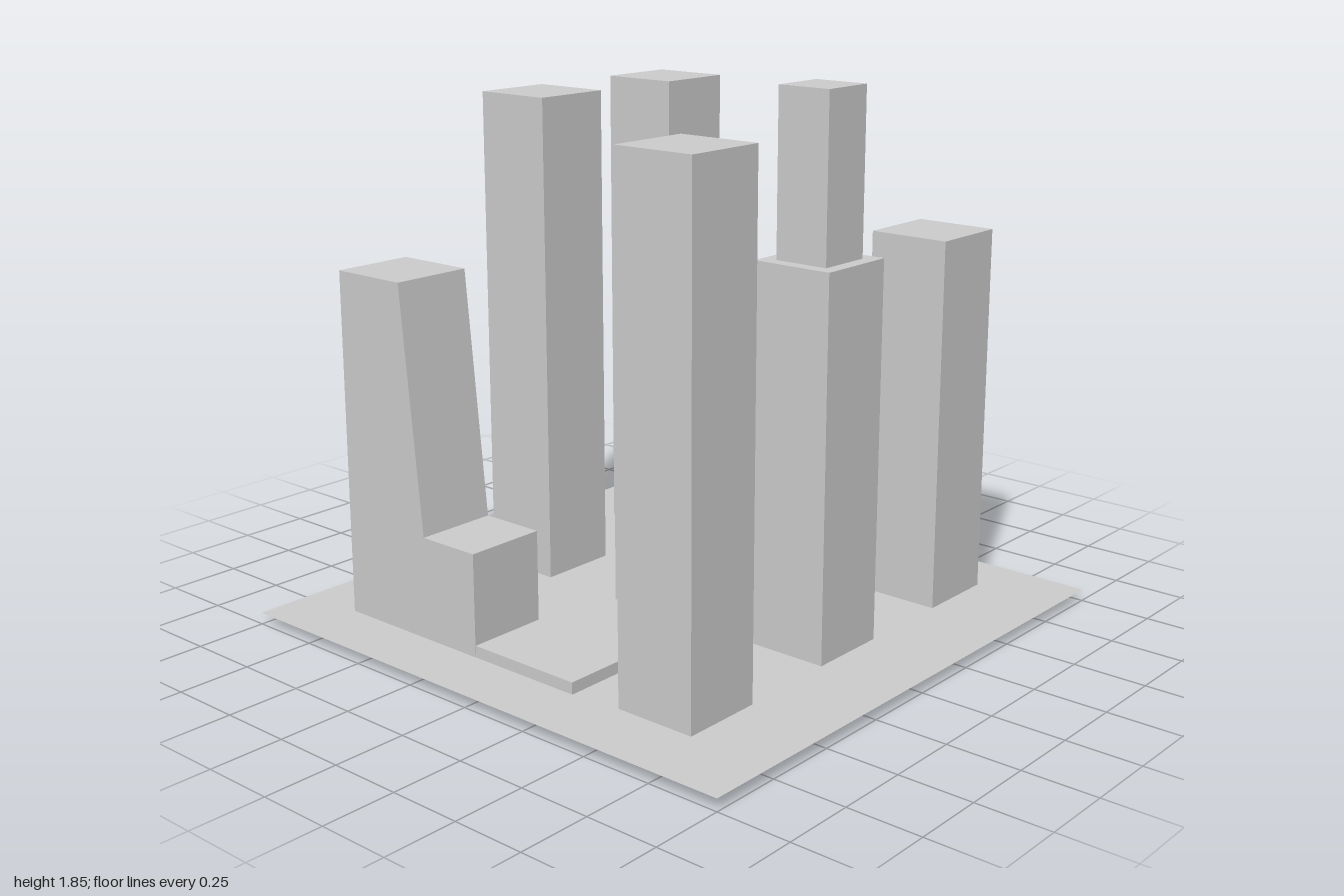
import * as THREE from 'three';

export function createModel() {
  const city = new THREE.Group();
  city.name = 'cityBlock';
  const material = new THREE.MeshStandardMaterial({ color: 0xcccccc, flatShading: true });

  function add(name, geometry, mat = material) {
    const mesh = new THREE.Mesh(geometry, mat);
    mesh.name = name;
    city.add(mesh);
    return mesh;
  }

  // Box given by its footprint centre, width, depth and vertical span
  function block(name, x, z, width, depth, bottom, top) {
    add(name, new THREE.BoxGeometry(width, top - bottom, depth))
      .position.set(x, (bottom + top) / 2, z);
  }

  // Thin ground sheet, slightly above the feet of the buildings
  const groundMaterial = material.clone();
  groundMaterial.side = THREE.DoubleSide;
  const ground = add('groundSheet', new THREE.PlaneGeometry(2, 2), groundMaterial);
  ground.rotation.x = -Math.PI / 2;
  ground.position.y = 0.04;

  // Square towers: name, x, z, height
  const towerSide = 0.286;
  const towers = [
    ['backRightTower', -0.632, -0.659, 1.74],
    ['backMiddleTower', -0.056, -0.659, 0.85],
    ['backLeftTower', 0.553, -0.659, 1.31],
    ['middleRightTower', -0.632, -0.016, 1.74],
    ['centreTower', -0.033, -0.016, 0.59],
    ['middleLeftTower', 0.553, -0.026, 1.31],
    ['frontLeftTower', 0.562, 0.619, 1.74],
  ];
  for (const [name, x, z, height] of towers) {
    block(name, x, z, towerSide, towerSide, 0, height);
  }

  // Narrow upper storey on the middle left tower
  block('upperStorey', 0.555, -0.024, 0.19, 0.19, 1.31, 1.85);

  // Low plaza slab
  block('plazaSlab', -0.05, 0.504, 0.591, 0.554, 0, 0.08);

  // Tower with a sloping side and a low annex, extruded from its front outline
  const outline = new THREE.Shape([
    [-0.775, 0], [-0.18, 0], [-0.18, 0.39],
    [-0.41, 0.39], [-0.49, 1.22], [-0.775, 1.22],
  ].map(([x, y]) => new THREE.Vector2(x, y)));
  add('slopedTower', new THREE.ExtrudeGeometry(outline, { depth: 0.285, bevelEnabled: false }))
    .position.z = 0.497;

  return city;
}
